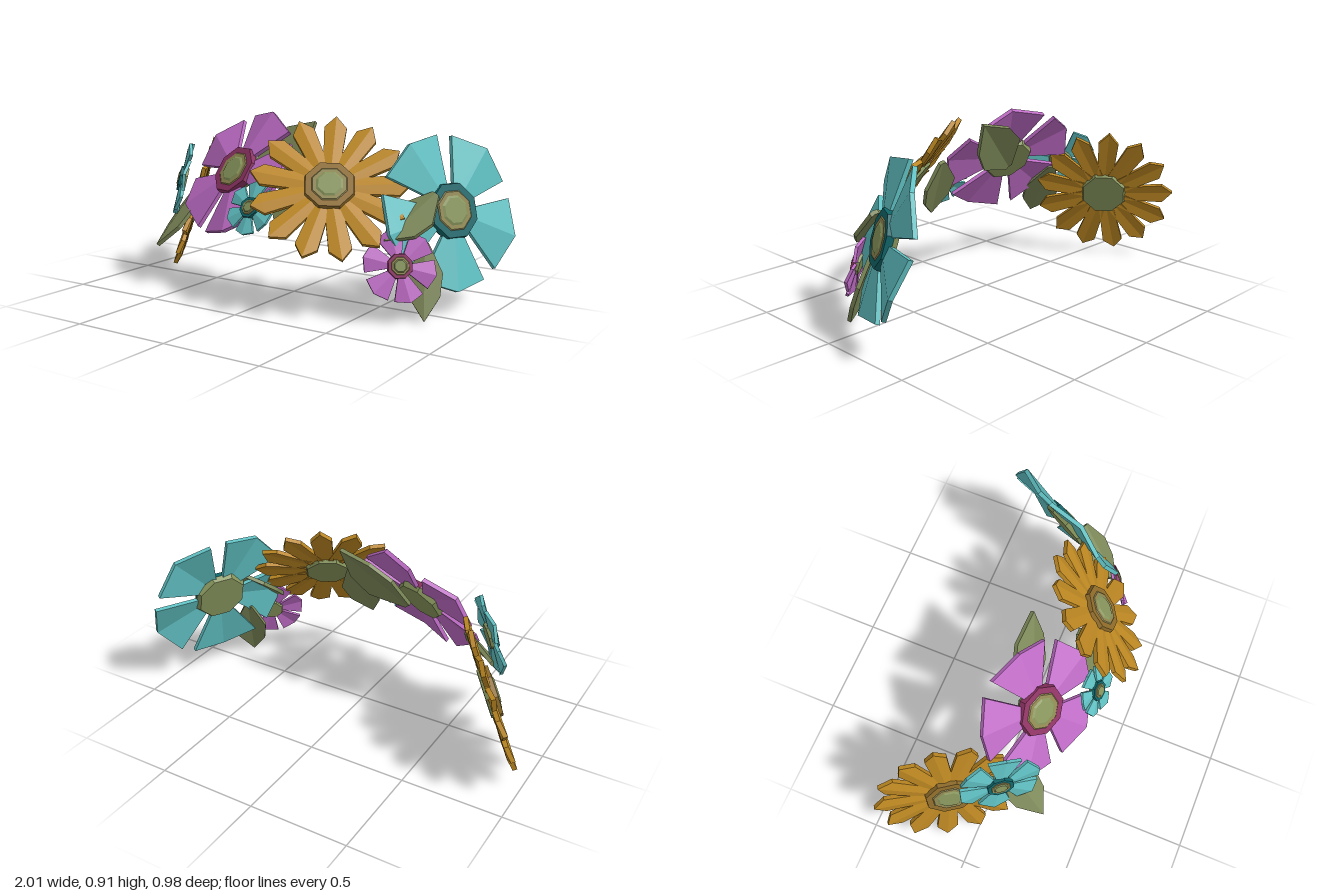
import * as THREE from 'three';

const V = (a) => new THREE.Vector3(...a);
const mat = (color) => new THREE.MeshStandardMaterial({ color, flatShading: true });

const GREEN = mat(0x87955c), LEAF = mat(0x7c8858), TAN = mat(0x8f8650);
const TEAL = { petal: mat(0x60c0c2), ring: mat(0x10666a) };
const PURPLE = { petal: mat(0xbf6cc6), ring: mat(0x8c3262) };
const GOLD = { petal: mat(0xbc8722), ring: mat(0x8f6c2a) };

// Plate along +y, folded on its midline: rows of [half width, distance]
function blade(rows, thick) {
  const pos = [], idx = [], n = rows.length, B = n * 3;
  const fold = 0.19;
  const widest = Math.max(...rows.map((row) => row[0]));
  for (const side of [thick / 2, -thick / 2])
    for (const [w, y] of rows) {
      const mid = side + fold * widest * 0.35, edge = mid - fold * w;
      pos.push(-w, y, edge, 0, y, mid, w, y, edge);
    }
  const quad = (a, b, c, d) => idx.push(a, b, c, a, c, d);
  for (let i = 0; i < n - 1; i++) {
    const a = i * 3, b = a + 3;
    for (let k = 0; k < 2; k++) {
      quad(a + k, a + k + 1, b + k + 1, b + k);
      quad(B + a + k, B + b + k, B + b + k + 1, B + a + k + 1);
    }
    quad(a, b, B + b, B + a);
    quad(b + 2, a + 2, B + a + 2, B + b + 2);
  }
  for (let k = 0; k < 2; k++) quad(k + 1, k, B + k, B + k + 1);
  const g = new THREE.BufferGeometry();
  g.setAttribute('position', new THREE.Float32BufferAttribute(pos, 3));
  g.setIndex(idx);
  const flat = g.toNonIndexed();
  flat.computeVertexNormals();
  return flat;
}

// Eight-sided disc stacked along +z
function disc(name, rTop, rBottom, z0, z1, material) {
  const g = new THREE.CylinderGeometry(rTop, rBottom, z1 - z0, 8);
  g.rotateX(Math.PI / 2).rotateZ(Math.PI / 8).translate(0, 0, (z0 + z1) / 2);
  const m = new THREE.Mesh(g, material);
  m.name = name;
  return m;
}

function flower(name, { at, normal, r, core, count, spin, width, shoulder, colors }) {
  const group = new THREE.Group();
  group.name = name;
  const s = Math.sqrt(r / 0.38);
  const geo = blade([[core * 0.3, core * 0.6], [width * r, shoulder * r], [0, r]], 0.022 * s);
  for (let i = 0; i < count; i++) {
    const petal = new THREE.Mesh(geo, colors.petal);
    petal.name = 'petal';
    petal.rotation.z = THREE.MathUtils.degToRad(spin - 90 + (i * 360) / count);
    group.add(petal);
  }
  const h = 0.032 * s;
  group.add(
    disc('calyx', core, core * 0.9, -h * 0.8, 0, GREEN),
    disc('centreRing', core * 0.95, core, 0, h, colors.ring),
    disc('centreBevel', core * 0.66, core * 0.7, h, h * 1.12, TAN),
    disc('centreCap', core * 0.44, core * 0.52, h * 1.12, h * 1.3, GREEN));
  // Local +z is the flower's facing, local +y leans towards world up
  const n = V(normal).normalize();
  const u = V([n.z, 0, -n.x]).normalize();
  const v = n.clone().cross(u);
  group.quaternion.setFromRotationMatrix(new THREE.Matrix4().makeBasis(u, v, n));
  group.position.copy(V(at)).addScaledVector(n, -h);
  return group;
}

function leaf(base, tip, facing, width) {
  const b = V(base), y = V(tip).sub(b), L = y.length();
  y.normalize();
  const x = y.clone().cross(V(facing)).normalize();
  const z = x.clone().cross(y);
  const m = new THREE.Mesh(
    blade([[0.02, 0], [width, L * 0.38], [width * 0.85, L * 0.68], [0, L]], 0.02), LEAF);
  m.name = 'leaf';
  m.quaternion.setFromRotationMatrix(new THREE.Matrix4().makeBasis(x, y, z));
  m.position.copy(b);
  return m;
}

export function createModel() {
  const model = new THREE.Group();
  model.name = 'flowerGarland';
  const broad = { count: 5, width: 0.475, shoulder: 0.85 };
  const daisy = { count: 13, width: 0.142, shoulder: 0.85, colors: GOLD };
  const small = { count: 6, width: 0.39, shoulder: 0.86 };

  // Large flowers along the arc
  model.add(
    flower('largeTealFlower', { ...broad, colors: TEAL, at: [0.81, 0.48, -0.138],
      normal: [0.85, 0.28, 0.45], r: 0.38, core: 0.143, spin: 48 }),
    flower('largePurpleFlower', { ...broad, colors: PURPLE, at: [-0.275, 0.625, 0.14],
      normal: [-0.25, 0.55, 0.79], r: 0.352, core: 0.138, spin: 78 }),
    flower('centreDaisy', { ...daisy, at: [0.34, 0.61, 0.215],
      normal: [0.42, 0.6, 0.68], r: 0.38, core: 0.128, spin: 85 }),
    flower('sideDaisy', { ...daisy, at: [-0.785, 0.385, -0.135],
      normal: [-0.78, 0.31, 0.54], r: 0.37, core: 0.13, spin: 94 }));

  // Small flowers filling the gaps
  model.add(
    flower('smallTealSideFlower', { ...small, colors: TEAL, at: [-0.675, 0.54, 0.09],
      normal: [-0.75, 0.25, 0.61], r: 0.205, core: 0.07, spin: 75 }),
    flower('smallTealCentreFlower', { ...small, colors: TEAL, at: [-0.03, 0.485, 0.345],
      normal: [-0.05, 0.45, 0.89], r: 0.135, core: 0.055, spin: 90 }),
    flower('smallPurpleFlower', { ...small, colors: PURPLE, at: [0.7, 0.265, 0.19],
      normal: [0.58, 0.28, 0.77], r: 0.172, core: 0.062, spin: 45 }));

  // Leaves behind the flowers
  model.add(
    leaf([-0.22, 0.58, 0.06], [0.09, 0.86, -0.07], [0, 0.5, 0.85], 0.12),
    leaf([-0.55, 0.52, 0.05], [-0.65, 0.21, 0.29], [-0.5, 0.4, 0.75], 0.1),
    leaf([0.16, 0.65, 0.15], [0.11, 0.35, 0.3], [0.1, 0.4, 0.9], 0.1),
    leaf([0.755, 0.56, -0.05], [0.615, 0.36, 0.185], [0.08, 0.7, 0.7], 0.1),
    leaf([0.73, 0.34, 0.01], [0.79, 0.0, 0.12], [0.42, 0.25, 0.85], 0.085));
  return model;
}
